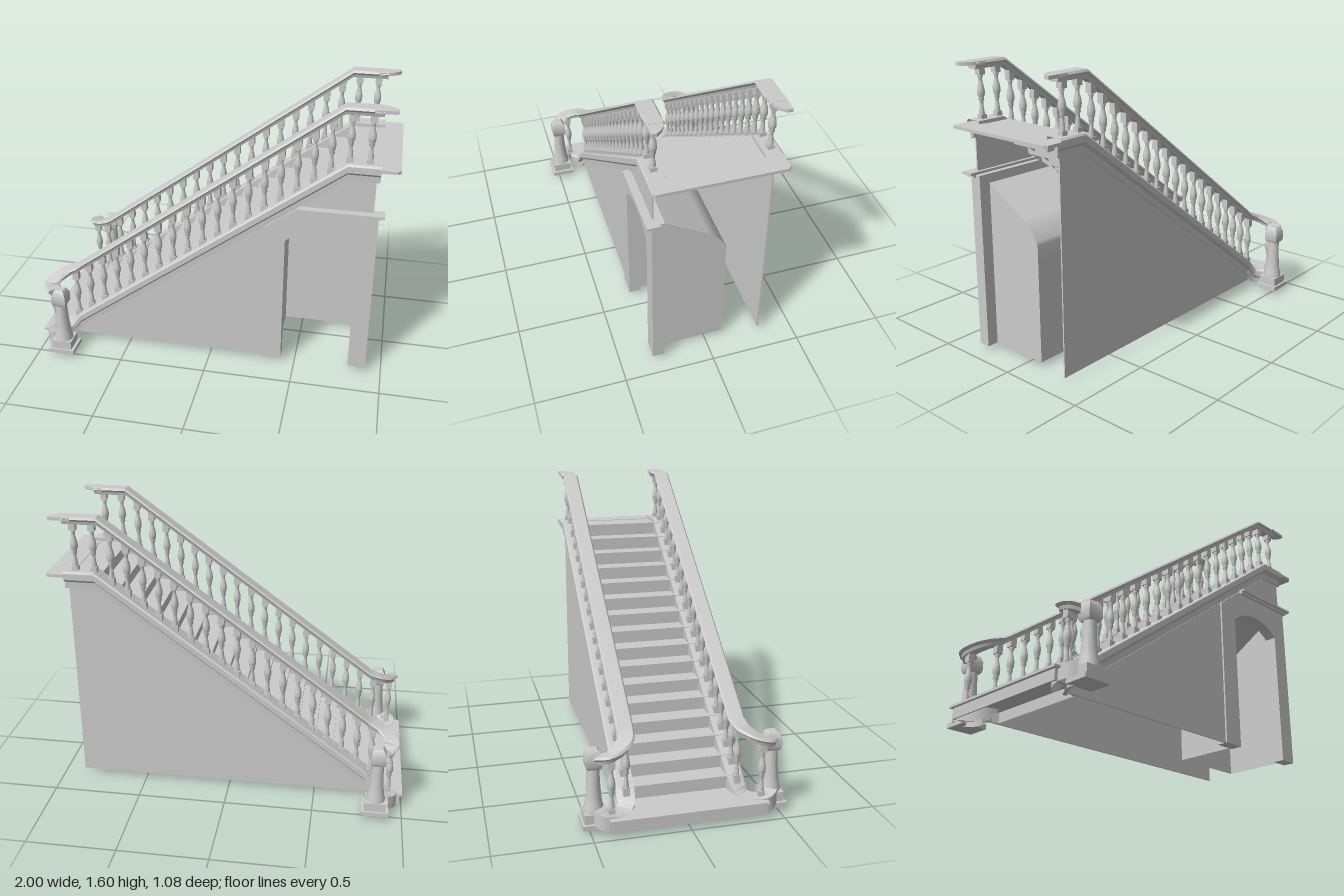
import * as THREE from 'three';
import { mergeGeometries, toCreasedNormals } from 'three/addons/utils/BufferGeometryUtils.js';

const material = new THREE.MeshStandardMaterial({ color: 0xcccccc, side: THREE.DoubleSide });
const V = (x, y, z) => new THREE.Vector3(x, y, z);
const SLOPE = 0.738, RISE = 0.0738, RUN = 0.1;

function add(parent, name, geometry) {
  const mesh = new THREE.Mesh(geometry, material);
  mesh.name = name;
  parent.add(mesh);
  return mesh;
}

// box given by its limits
function box(x0, x1, y0, y1, z0, z1) {
  return new THREE.BoxGeometry(x1 - x0, y1 - y0, z1 - z0)
    .translate((x0 + x1) / 2, (y0 + y1) / 2, (z0 + z1) / 2);
}

const shapeOf = pts => new THREE.Shape(pts.map(p => new THREE.Vector2(...p)));

function slab(shape, z0, z1) {
  return new THREE.ExtrudeGeometry(shape, { depth: z1 - z0, bevelEnabled: false, curveSegments: 16 })
    .translate(0, 0, z0);
}

// horizontal slab from a plan drawn in x and z
const plate = (shape, y0, y1) => slab(shape, 0, y1 - y0).rotateX(Math.PI / 2).translate(0, y1, 0);

// upright profile [outward, up] swept along a path; an open profile leaves out its last side and the ends
function sweep(profile, path, open) {
  const n = profile.length, pos = [], idx = [];
  path.forEach((p, i) => {
    const t = path[Math.min(i + 1, path.length - 1)].clone().sub(path[Math.max(i - 1, 0)]).setY(0).normalize();
    profile.forEach(([u, v]) => pos.push(p.x + u * t.z, p.y + v, p.z - u * t.x));
  });
  for (let i = 0; i < path.length - 1; i++) {
    for (let j = 0; j < (open ? n - 1 : n); j++) {
      const a = i * n + j, b = i * n + (j + 1) % n;
      idx.push(a, b, a + n, b, b + n, a + n);
    }
  }
  const end = (path.length - 1) * n;
  if (!open) {
    THREE.ShapeUtils.triangulateShape(profile.map(p => new THREE.Vector2(...p)), [])
      .forEach(([a, b, c]) => idx.push(a, b, c, end + a, end + c, end + b));
  }
  const g = new THREE.BufferGeometry();
  g.setAttribute('position', new THREE.Float32BufferAttribute(pos, 3));
  g.setIndex(idx);
  return toCreasedNormals(g, 0.5);
}

// straight run from the landing, then a flare curling out to the newel
function railPath(endX, bendX, topY, flareY) {
  const footY = topY - SLOPE * (bendX + 0.8);
  const flare = new THREE.CatmullRomCurve3([
    V(-0.8, footY, 0.295), V(-0.865, flareY[0], 0.312), V(-0.91, flareY[1], 0.36),
    V(-0.922, flareY[2], 0.415), V(-0.89, flareY[3], 0.45)]);
  return [V(endX, topY, 0.295), V(bendX, topY, 0.295), V(-0.77, footY + 0.03 * SLOPE, 0.295), ...flare.getPoints(14)];
}

// turned baluster with small square blocks at both ends, standing on y = 0
function balusterGeometry(h) {
  const profile = [[0.015, 0.08], [0.015, 0.13], [0.01, 0.27], [0.01, 0.34], [0.016, 0.37], [0.013, 0.4], [0.02, 0.47],
    [0.021, 0.54], [0.018, 0.62], [0.011, 0.71], [0.01, 0.79], [0.016, 0.82], [0.012, 0.86]];
  const body = new THREE.LatheGeometry(profile.map(([r, y]) => new THREE.Vector2(r, y * h)), 10);
  return mergeGeometries([box(-0.017, 0.017, -0.02, 0.09 * h, -0.017, 0.017), body,
    box(-0.018, 0.018, 0.85 * h, h + 0.01, -0.018, 0.018)]);
}

// newel post: square base and cap, round flared shaft
function newel(parent) {
  const lathe = (pts, sides, turn) => toCreasedNormals(
    new THREE.LatheGeometry(pts.map(([r, y]) => new THREE.Vector2(r, y)), sides, turn), 0.6);
  const g = new THREE.Group();
  g.name = 'newel';
  g.position.set(-0.85, 0, 0.473);
  add(g, 'newelBase', box(-0.075, 0.075, 0.025, 0.05, -0.067, 0.067));
  add(g, 'newelPlinth', box(-0.058, 0.058, 0.05, 0.1, -0.055, 0.055));
  add(g, 'newelShaft', lathe([[0.053, 0.1], [0.052, 0.115], [0.045, 0.14], [0.04, 0.18], [0.035, 0.25], [0.032, 0.335]], 20, 0));
  const cap = [[0, 0.33], [0.033, 0.33], [0.041, 0.345], [0.041, 0.395], [0.03, 0.425], [0.022, 0.432], [0, 0.432]];
  add(g, 'newelCap', lathe(cap.map(([r, y]) => [r * Math.SQRT2, y]), 4, Math.PI / 4));
  parent.add(g);
}

// stringer, balusters, handrail and newel of one side (+z)
function balustrade() {
  const side = new THREE.Group();
  add(side, 'stringer', sweep([[-0.045, -0.08], [-0.045, 0], [0.04, 0], [0.05, -0.01], [0.05, -0.045],
    [0.027, -0.063], [0.025, -0.1], [0.01, -0.1]], railPath(0.9, 0.73, 1.3, [0.107, 0.101, 0.11, 0.125]), true));
  add(side, 'stringerEnd', box(0.88, 0.9, 1.205, 1.27, 0.3, 0.32));
  add(side, 'handrail', sweep([[-0.045, -0.012], [-0.036, 0], [0.036, 0], [0.045, -0.012], [0.03, -0.025],
    [0.025, -0.042], [-0.025, -0.042], [-0.03, -0.025]], railPath(0.89, 0.7, 1.605, [0.472, 0.447, 0.427, 0.41])));

  // rounded handrail end over the landing
  const end = new THREE.Shape();
  end.moveTo(0.84, 0.25);
  end.quadraticCurveTo(0.93, 0.255, 0.96, 0.31);
  end.lineTo(0.96, 0.335);
  end.lineTo(0.84, 0.34);
  add(side, 'handrailEnd', plate(end, 1.585, 1.603));

  const feet = [[-0.815, 0.16, 0.297], [-0.918, 0.108, 0.395], [0.735, 1.3, 0.295], [0.84, 1.3, 0.295]];
  for (let i = 0; i < 17; i++) {
    const x = -0.73 + 0.0857 * i;
    feet.push([x, 1.3 + SLOPE * (x - 0.73), 0.295]);
  }
  const tall = balusterGeometry(0.285), low = balusterGeometry(0.268);
  feet.forEach(([x, y, z]) => add(side, 'baluster', x > 0.7 ? low : tall).position.set(x, y, z));
  newel(side);
  return side;
}

// plan of the bottom step, wide in front and drawn in behind the newels
const bottomPlan = d => shapeOf([[-1 + d, 0.415 - d], [-0.92, 0.415 - d], [-0.86, 0.345 - d], [-0.78, 0.315 - d],
  [-0.78, d - 0.315], [-0.86, d - 0.345], [-0.92, d - 0.415], [-1 + d, d - 0.415]]);

// steps: open thin treads and risers
function steps(parent) {
  const riserRing = bottomPlan(0.016);
  riserRing.holes.push(bottomPlan(0.024));
  add(parent, 'bottomRiser', plate(riserRing, 0.03, 0.088));
  add(parent, 'bottomTread', plate(bottomPlan(0), 0.087, 0.1));
  for (let i = 1; i <= 16; i++) {
    const x = -0.9 + RUN * i, y = 0.1 + RISE * i;
    add(parent, 'riser', box(x + 0.012, x + 0.02, y - RISE, y - 0.012, -0.305, 0.305));
    if (i < 16) add(parent, 'tread', box(x, x + RUN + 0.02, y - 0.014, y, -0.305, 0.305));
  }
  add(parent, 'landing', box(0.7, 0.88, 1.265, 1.281, -0.305, 0.305));
  const edge = shapeOf([[0.86, -0.345], [0.985, -0.345], [1, -0.33], [1, 0.33], [0.985, 0.345], [0.86, 0.345]]);
  add(parent, 'landingEdge', plate(edge, 1.268, 1.284));
}

// arched niche below the stair on the front side
function niche(parent) {
  const panel = shapeOf([[0.3, 0.03], [0.42, 0.03], [0.42, 0.81]]);
  panel.quadraticCurveTo(0.5, 0.88, 0.615, 0.88);
  panel.quadraticCurveTo(0.73, 0.88, 0.81, 0.81);
  [[0.81, 0.03], [0.91, 0.03], [0.91, 1.01], [0.48, 1.01], [0.3, 0.88]].forEach(p => panel.lineTo(...p));
  add(parent, 'archPanel', toCreasedNormals(slab(panel, 0.255, 0.322), 0.5));
  add(parent, 'cornice', box(0.48, 0.94, 1.01, 1.024, 0.285, 0.355));
  add(parent, 'corniceMoulding', box(0.48, 0.925, 0.998, 1.01, 0.285, 0.338));

  // sloping ceiling running smoothly into the back wall, as [z, y]
  const line = [[0.29, 0.98], [0, 0.81]];
  const bend = new THREE.QuadraticBezierCurve(new THREE.Vector2(0, 0.81), new THREE.Vector2(-0.06, 0.77), new THREE.Vector2(-0.1, 0.69));
  bend.getPoints(8).slice(1).forEach(p => line.push([p.x, p.y]));
  line.push([-0.1, 0.6], [-0.1, 0.03]);
  const vault = new THREE.PlaneGeometry(1, 1, 1, line.length - 1);
  const p = vault.attributes.position;
  for (let i = 0; i < p.count; i++) {
    const [z, y] = line[Math.floor(i / 2)];
    p.setXYZ(i, i % 2 ? 0.845 : 0.395, y, z);
  }
  vault.computeVertexNormals();
  add(parent, 'nicheVault', vault);
  const cheek = new THREE.ShapeGeometry(shapeOf([...line, [0.29, 0.03]])).rotateY(-Math.PI / 2);
  [0.395, 0.845].forEach(x => add(parent, 'nicheSide', cheek).position.x = x);
}

export function createModel() {
  const model = new THREE.Group();
  model.name = 'staircase';
  steps(model);

  const left = balustrade(), right = balustrade();
  left.name = 'frontBalustrade';
  right.name = 'backBalustrade';
  right.scale.z = -1;
  model.add(left, right);

  // side walls under the stringers
  const front = shapeOf([[-0.85, 0.03], [0.3, 0.03], [0.3, 0.88], [0.48, 1.01], [0.88, 1.01], [0.88, 1.22], [0.76, 1.22]]);
  const back = shapeOf([[-0.85, 0.03], [0.88, 0.03], [0.88, 1.22], [0.76, 1.22]]);
  add(model, 'frontWall', slab(front, 0.304, 0.312));
  add(model, 'backWall', slab(back, -0.312, -0.304));
  niche(model);
  return model;
}
